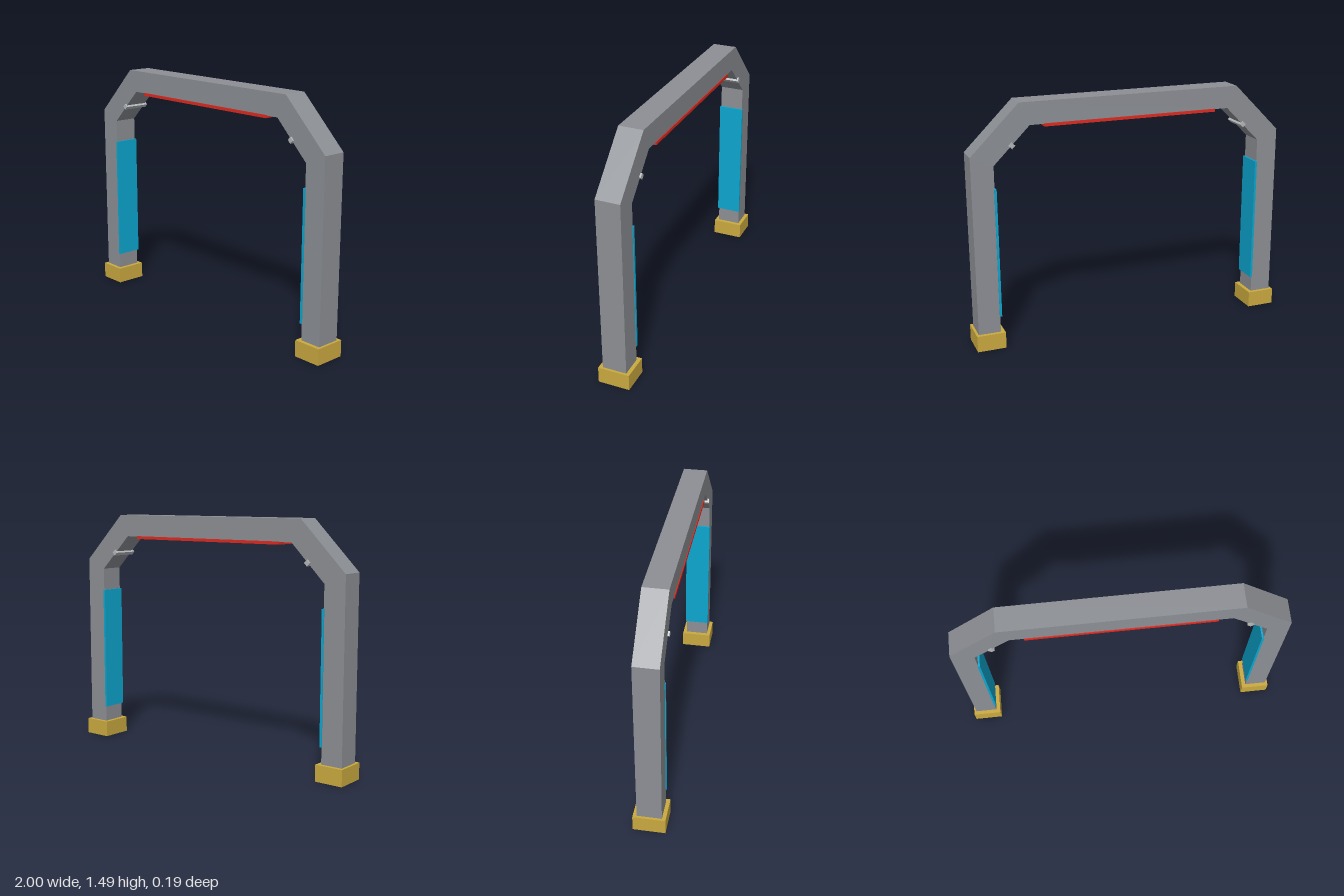
import * as THREE from 'three';

const mat = (name, color) => {
  const m = new THREE.MeshStandardMaterial({ color });
  m.name = name;
  return m;
};

export function createModel() {
  const group = new THREE.Group();
  const steel = mat('steel grey', 0x8c8f94);
  const gold = mat('base yellow', 0xcaa93f);
  const cyan = mat('panel cyan', 0x0ca6cf);
  const red = mat('panel red', 0xdc2a20);
  const silver = mat('bar silver', 0xb4b7ba);

  const add = (name, geometry, material, x = 0, y = 0, z = 0) => {
    const mesh = new THREE.Mesh(geometry, material);
    mesh.name = name;
    mesh.position.set(x, y, z);
    group.add(mesh);
    return mesh;
  };

  // Arch with chamfered corners, drawn as one half and mirrored
  const half = [[0.85, 0], [0.985, 0], [0.985, 1.19], [0.69, 1.485]];
  const inner = [[0.63, 1.35], [0.85, 1.13]];
  const flip = (pts) => pts.map(([x, y]) => [-x, y]).reverse();
  const outline = [...half, ...flip(half), ...flip(inner), ...inner];
  const arch = new THREE.Shape(outline.map(([x, y]) => new THREE.Vector2(x, y)));
  const depth = 0.148;
  add('archFrame', new THREE.ExtrudeGeometry(arch, { depth, bevelEnabled: false }), steel, 0, 0, -depth / 2);

  // Light panel under the top beam
  add('topPanel', new THREE.BoxGeometry(1.09, 0.018, 0.158), red, 0, 1.344, 0);

  for (const s of [1, -1]) {
    const side = s > 0 ? 'left' : 'right';

    // Foot collar around the leg, open below so the leg end shows
    const collar = new THREE.Shape();
    collar.moveTo(-0.0875, -0.097).lineTo(0.0875, -0.097).lineTo(0.0875, 0.097).lineTo(-0.0875, 0.097);
    const hole = new THREE.Path();
    const c = s * 0.005;
    hole.moveTo(c - 0.0675, -0.074).lineTo(c - 0.0675, 0.074).lineTo(c + 0.0675, 0.074).lineTo(c + 0.0675, -0.074);
    collar.holes.push(hole);
    const foot = new THREE.ExtrudeGeometry(collar, { depth: 0.1, bevelEnabled: false });
    foot.rotateX(-Math.PI / 2);
    add(side + 'Foot', foot, gold, s * 0.9125);

    // Light panel on the inside of the leg
    add(side + 'Panel', new THREE.BoxGeometry(0.014, 0.79, 0.158), cyan, s * 0.846, 0.595, 0);

    // Sensor bar across the sloped corner
    const bar = add(side + 'SensorBar', new THREE.BoxGeometry(0.027, 0.027, 0.168), silver, s * 0.74, 1.24, 0);
    bar.rotation.z = -s * Math.PI / 4;
  }
  return group;
}
